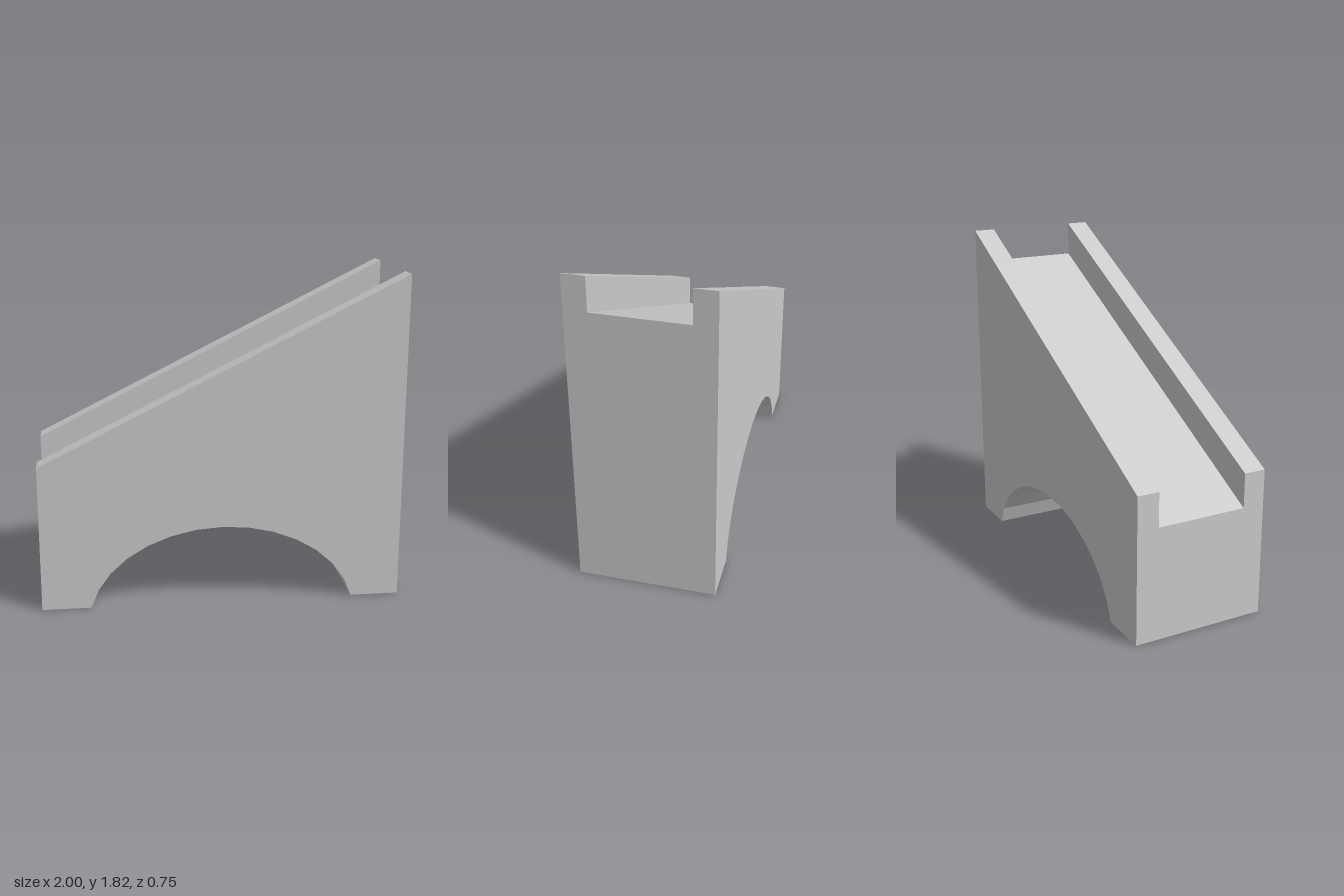
import * as THREE from 'three';

const HALF_DEPTH = 0.375, GROOVE_HALF = 0.253, GROOVE_DEPTH = 0.19;
const ARCH_RX = 0.745, ARCH_RY = 0.55, ARCH_STEPS = 14;

export function createModel() {
  const group = new THREE.Group();
  group.name = 'slopedArchBlock';

  // Stations along x: [x, underside height], flat feet either side of the arch
  const stations = [[-1, 0]];
  const step = Math.PI / 16;
  const archBase = ARCH_RY * Math.sin(step);
  for (let i = 0; i <= ARCH_STEPS; i++) {
    const a = Math.PI - step * (i + 1);
    stations.push([ARCH_RX * Math.cos(a), Math.max(0, ARCH_RY * Math.sin(a) - archBase)]);
  }
  stations.push([1, 0]);

  // U-shaped cross-section; y is a level: 0 underside, 1 groove floor, 2 rail top
  const d = HALF_DEPTH, g = GROOVE_HALF;
  const section = new THREE.Shape(
    [[-d, 0], [d, 0], [d, 2], [g, 2], [g, 1], [-g, 1], [-g, 2], [-d, 2]]
      .map(([x, y]) => new THREE.Vector2(x, y))
  );
  const steps = stations.length - 1;
  const extruded = new THREE.ExtrudeGeometry(section, { depth: steps, steps, bevelEnabled: false });
  const geometry = extruded.index ? extruded.toNonIndexed() : extruded;

  // Turn the extrusion along x and place each level at its real height
  const pos = geometry.attributes.position;
  for (let i = 0; i < pos.count; i++) {
    const [x, under] = stations[Math.round(pos.getZ(i))];
    const level = Math.round(pos.getY(i));
    const top = 1.315 + 0.5 * x;
    const y = level === 0 ? under : level === 1 ? top - GROOVE_DEPTH : top;
    pos.setXYZ(i, x, y, -pos.getX(i));
  }
  geometry.computeVertexNormals();

  // Block with arched underside and grooved sloping top
  const body = new THREE.Mesh(
    geometry,
    new THREE.MeshStandardMaterial({ color: 0xcccccc, flatShading: true })
  );
  body.name = 'archedBodyWithRails';
  group.add(body);
  return group;
}
